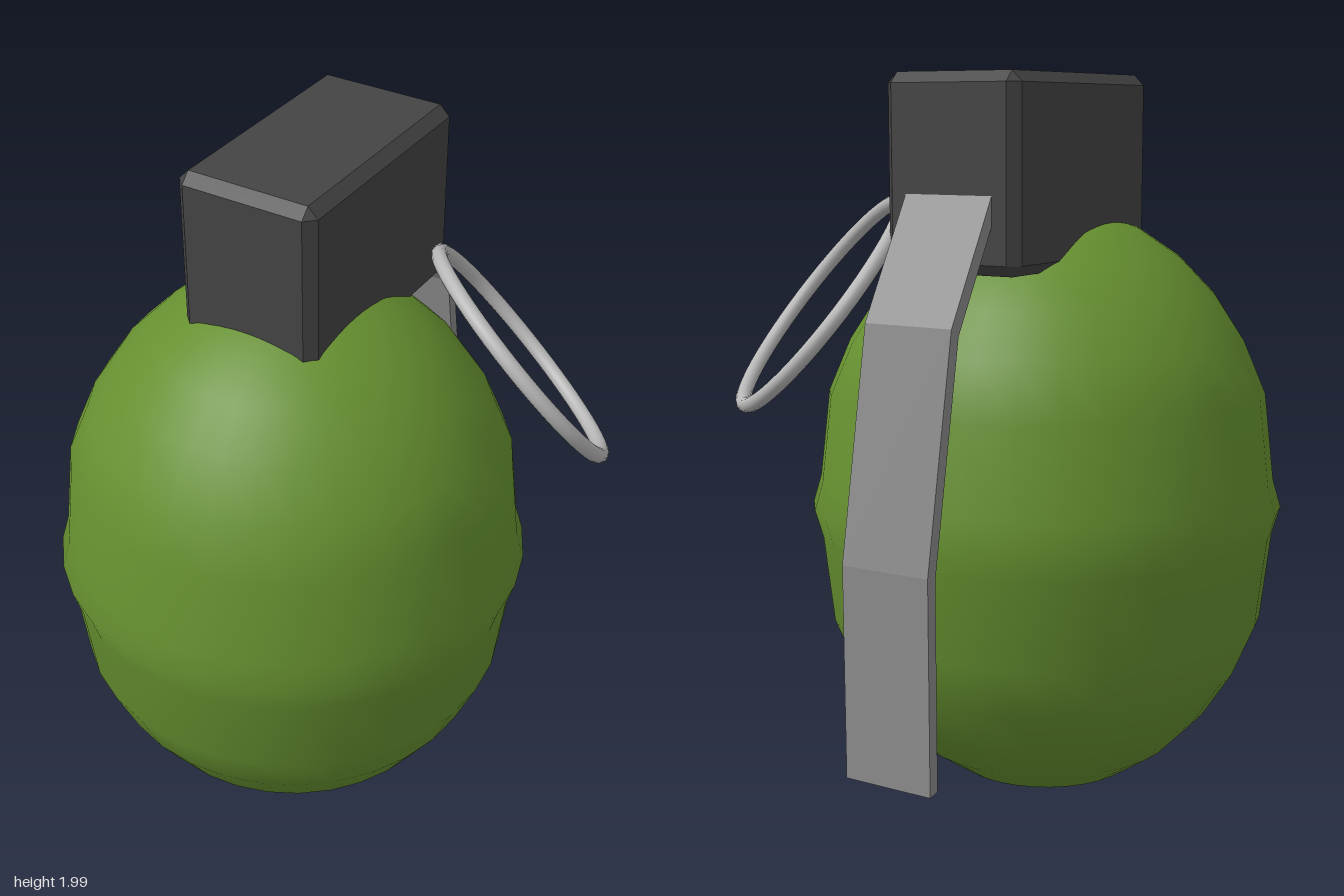
import * as THREE from 'three';
import { ConvexGeometry } from 'three/addons/geometries/ConvexGeometry.js';

const mat = (name, color, extra = {}) => {
  const m = new THREE.MeshStandardMaterial({ color, ...extra });
  m.name = name;
  return m;
};

const part = (name, geometry, material) => {
  const mesh = new THREE.Mesh(geometry, material);
  mesh.name = name;
  return mesh;
};

// Box with every edge cut by a straight chamfer
function chamferBox(w, h, d, c) {
  const pts = [];
  for (const x of [-1, 1]) for (const y of [-1, 1]) for (const z of [-1, 1]) {
    const a = w / 2, b = h / 2, e = d / 2;
    pts.push(new THREE.Vector3(x * a, y * (b - c), z * (e - c)));
    pts.push(new THREE.Vector3(x * (a - c), y * b, z * (e - c)));
    pts.push(new THREE.Vector3(x * (a - c), y * (b - c), z * e));
  }
  return new ConvexGeometry(pts);
}

export function createModel() {
  const green = mat('olive green', 0x669030);
  const dark = mat('dark grey', 0x444444, { flatShading: true });
  const grey = mat('mid grey', 0x8c8c8c, { flatShading: true });
  const silver = mat('silver', 0xb8b8b8);

  const group = new THREE.Group();
  group.name = 'grenade';

  // Egg-shaped body with a raised seam around the middle
  const R = 0.65, H = 0.82, midY = 0.835, rings = 16;
  const profile = [];
  for (let i = 0; i <= rings; i++) {
    const a = (i / rings) * Math.PI;
    let r = R * Math.sin(a), y = midY - H * Math.cos(a);
    if (Math.abs(i - rings / 2) === 1) { // rings beside the seam pinch in
      r = 0.628;
      y = midY + Math.sign(i - rings / 2) * 0.075;
    }
    profile.push(new THREE.Vector2(i === 0 || i === rings ? 0 : r, y));
  }
  const body = part('body', new THREE.LatheGeometry(profile, 32), green);
  body.position.set(-0.07, 0, 0.065);
  group.add(body);

  // Fuse head
  const head = part('fuseHead', chamferBox(0.395, 0.5, 0.69, 0.028), dark);
  head.position.set(-0.0725, 1.75, -0.08);
  group.add(head);

  // Bent safety lever: side outline (-z, y) extruded across x
  const outline = [
    [0.38, 1.775], [0.605, 1.39], [0.715, 0.8], [0.713, 0.245],
    [0.68, 0.25], [0.682, 0.79], [0.574, 1.37], [0.38, 1.7],
  ].map(([z, y]) => new THREE.Vector2(z, y));
  const leverGeo = new THREE.ExtrudeGeometry(new THREE.Shape(outline), { depth: 0.255, bevelEnabled: false });
  leverGeo.rotateY(Math.PI / 2);
  const lever = part('safetyLever', leverGeo, grey);
  lever.position.x = -0.2;
  group.add(lever);

  // Pull ring, tilted out from the side of the head
  const ring = part('pullRing', new THREE.TorusGeometry(0.344, 0.021, 12, 48), silver);
  ring.position.set(0.413, 1.395, -0.318);
  ring.quaternion.setFromUnitVectors(
    new THREE.Vector3(0, 0, 1),
    new THREE.Vector3(0.556, 0.627, -0.546).normalize(),
  );
  group.add(ring);

  return group;
}
